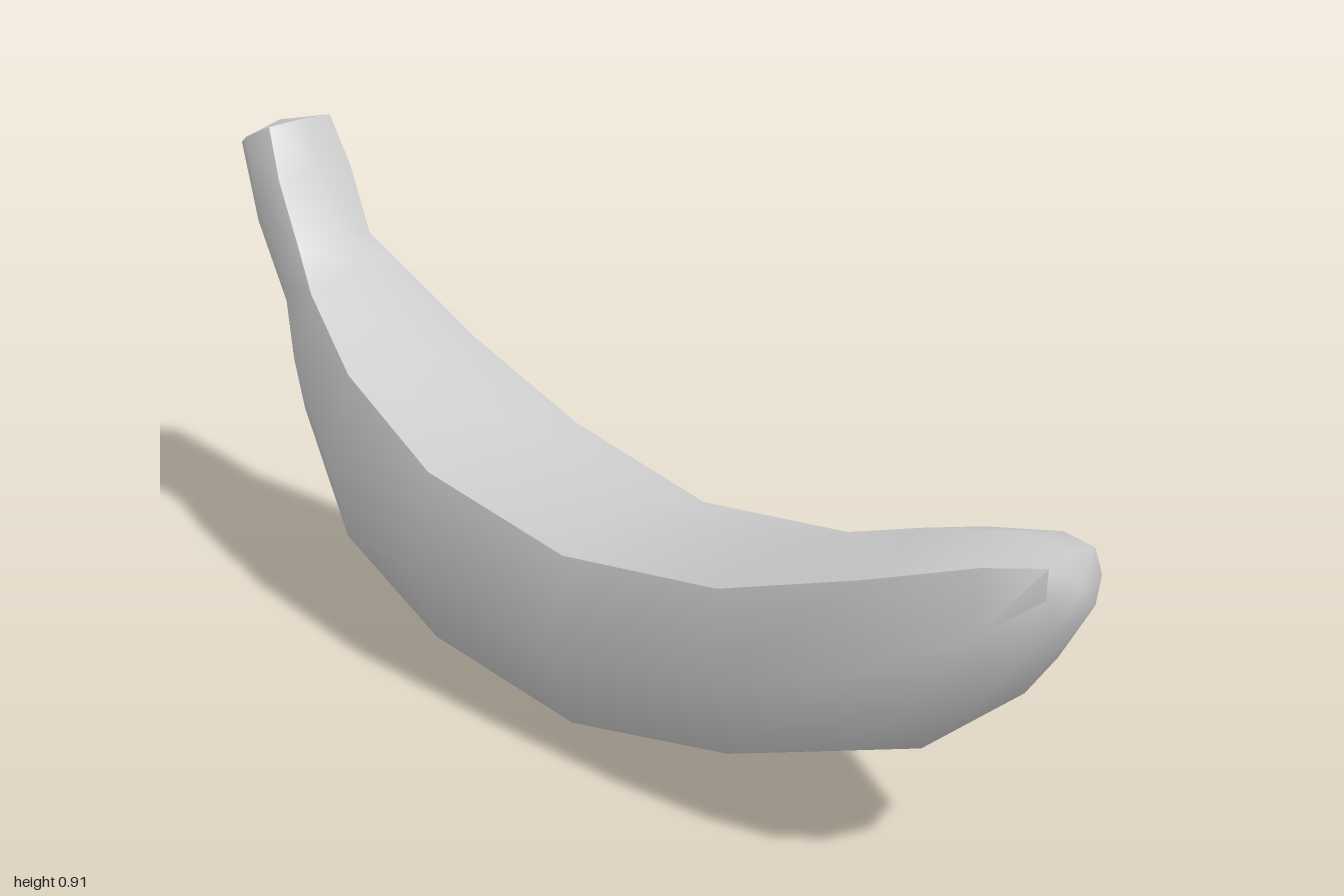
import * as THREE from 'three';
import { toCreasedNormals } from 'three/addons/utils/BufferGeometryUtils.js';

// Stations from stem to blossom end: ridge x, y, keel x, y, half width, z offset
const STATIONS = [
  [-0.86, 0.912, -1.0, 0.845, 0.085, -0.02],
  [-0.81, 0.83, -0.93, 0.70, 0.1, -0.012],
  [-0.76, 0.715, -0.83, 0.53, 0.1, -0.01],
  [-0.68, 0.67, -0.76, 0.35, 0.135, -0.005],
  [-0.52, 0.58, -0.59, 0.135, 0.18, 0],
  [-0.27, 0.475, -0.30, 0.035, 0.21, 0],
  [0.07, 0.425, 0.06, 0, 0.2, 0],
  [0.42, 0.48, 0.43, 0.09, 0.19, 0],
  [0.70, 0.585, 0.72, 0.215, 0.175, 0],
  [0.885, 0.64, 0.91, 0.385, 0.115, 0],
  [0.975, 0.64, 0.993, 0.53, 0.065, 0],
];

// Eight-sided section: height from keel (0) to ridge (1), and sideways fraction
const SECTION = [
  [0, 0], [0.12, 0.7], [0.49, 1], [0.89, 0.83],
  [1, 0], [0.89, -0.83], [0.49, -1], [0.12, -0.7],
];

function skinGeometry() {
  const n = SECTION.length;
  const last = STATIONS.length - 1;
  const positions = [];
  const index = [];
  for (const [rx, ry, kx, ky, w, z] of STATIONS) {
    for (const [t, s] of SECTION) {
      positions.push(kx + (rx - kx) * t, ky + (ry - ky) * t, z + w * s);
    }
  }
  // Centres of the stem cut and the rounded tip
  const stem = positions.length / 3;
  positions.push(-0.938, 0.895, -0.02, 1.0, 0.59, 0);

  for (let j = 0; j < n; j++) {
    const k = (j + 1) % n;
    for (let i = 0; i < last; i++) {
      const a = i * n + j, b = a + n, c = (i + 1) * n + k, d = i * n + k;
      index.push(a, b, c, a, c, d);
    }
    index.push(stem, j, k, stem + 1, last * n + k, last * n + j);
  }
  const geometry = new THREE.BufferGeometry();
  geometry.setAttribute('position', new THREE.Float32BufferAttribute(positions, 3));
  geometry.setIndex(index);
  return toCreasedNormals(geometry, THREE.MathUtils.degToRad(52));
}

export function createModel() {
  const group = new THREE.Group();
  group.name = 'banana';
  const peel = new THREE.MeshStandardMaterial({ color: 0xcccccc });
  peel.name = 'light grey';
  const skin = new THREE.Mesh(skinGeometry(), peel);
  skin.name = 'bananaPeel';
  group.add(skin);
  return group;
}
